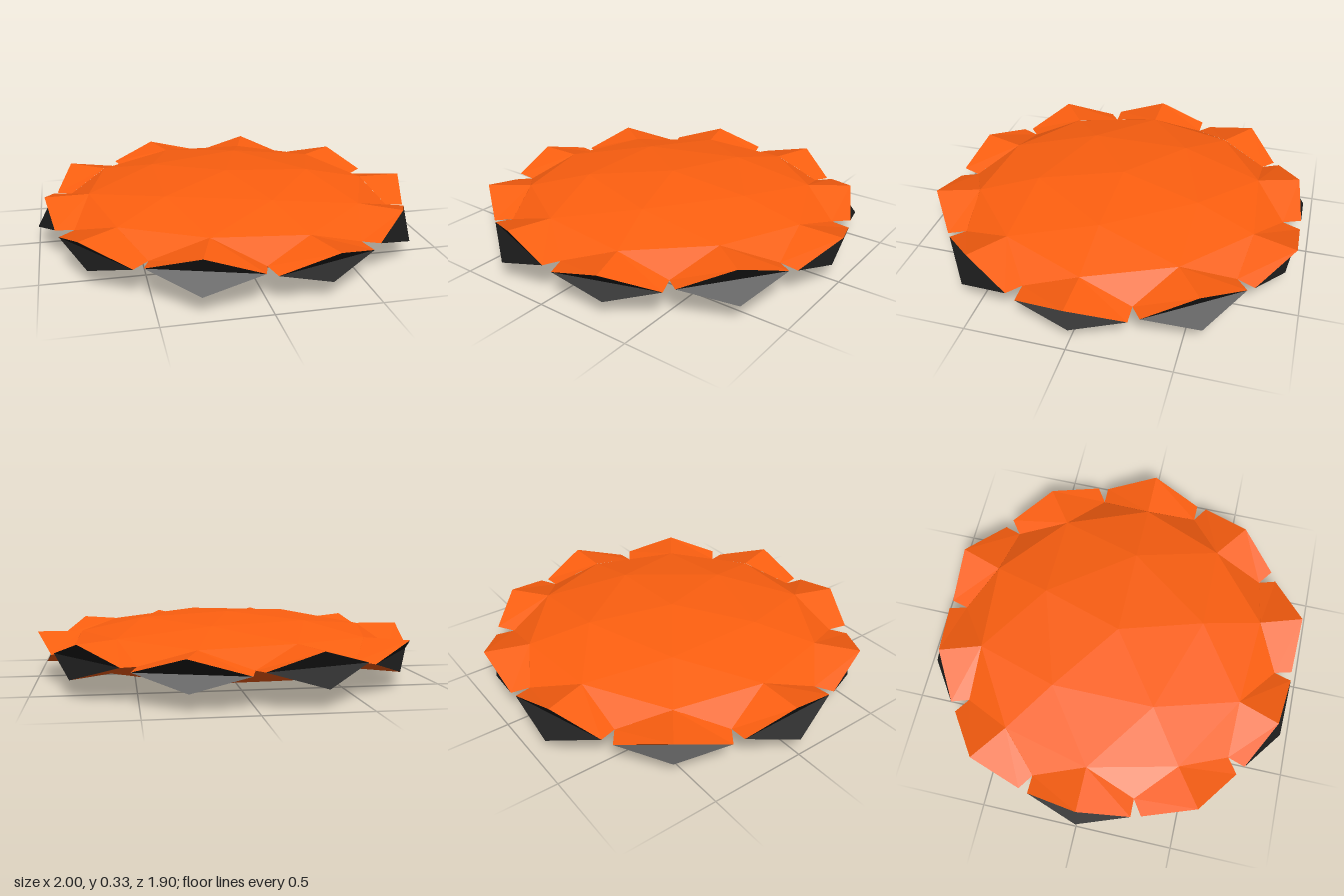
import * as THREE from 'three';

const HALF_HEIGHT = 0.165;
const BODY_RADIUS = 0.86;

const orange = new THREE.MeshStandardMaterial({ color: 0xff6010, flatShading: true });
const black = new THREE.MeshStandardMaterial({ color: 0x1a1a1a, flatShading: true });

// Flat-shaded mesh from a list of triangles, each made of three corner points
function facetMesh(name, triangles, material) {
  const geometry = new THREE.BufferGeometry();
  geometry.setAttribute('position', new THREE.Float32BufferAttribute(triangles.flat(2), 3));
  geometry.computeVertexNormals();
  const mesh = new THREE.Mesh(geometry, material);
  mesh.name = name;
  return mesh;
}

// One rim block pointing along +x: a diamond pulled out of the body's equator
function createRimBlock() {
  const block = new THREE.Group();
  // Corners in order: top, left, bottom, right
  const inner = [[0.77, 0.074, 0], [0.818, 0, 0.266], [0.731, -0.087, 0], [0.818, 0, -0.266]];
  const outer = [[1, 0.074, 0], [0.912, -0.008, 0.268], [0.957, -0.085, 0], [0.912, -0.008, -0.268]];

  const walls = [];
  for (let i = 0; i < 4; i++) {
    const j = (i + 1) % 4;
    walls.push([outer[i], inner[i], inner[j]], [outer[i], inner[j], outer[j]]);
  }
  block.add(facetMesh('rimBlockWalls', walls, orange));

  // Dark end, creased inwards along its horizontal middle
  const [top, left, bottom, right] = outer;
  block.add(facetMesh('rimBlockEnd', [[top, left, right], [left, bottom, right]], black));
  return block;
}

export function createModel() {
  const model = new THREE.Group();
  model.name = 'facetedDisc';

  // Flattened faceted sphere, turned so that a corner sits at the top
  const geometry = new THREE.IcosahedronGeometry(1, 1);
  geometry.rotateZ(-Math.atan(2 / (1 + Math.sqrt(5))));
  geometry.scale(BODY_RADIUS, HALF_HEIGHT, BODY_RADIUS);
  geometry.computeVertexNormals();
  const body = new THREE.Mesh(geometry, orange);
  body.name = 'discBody';
  body.position.y = HALF_HEIGHT;
  model.add(body);

  // Ten rim blocks, every second one upside down
  for (let i = 0; i < 10; i++) {
    const block = createRimBlock();
    block.name = `rimBlock${i + 1}`;
    block.rotation.set(i % 2 ? Math.PI : 0, (i * Math.PI) / 5, 0, 'YXZ');
    block.position.y = HALF_HEIGHT;
    model.add(block);
  }
  return model;
}
